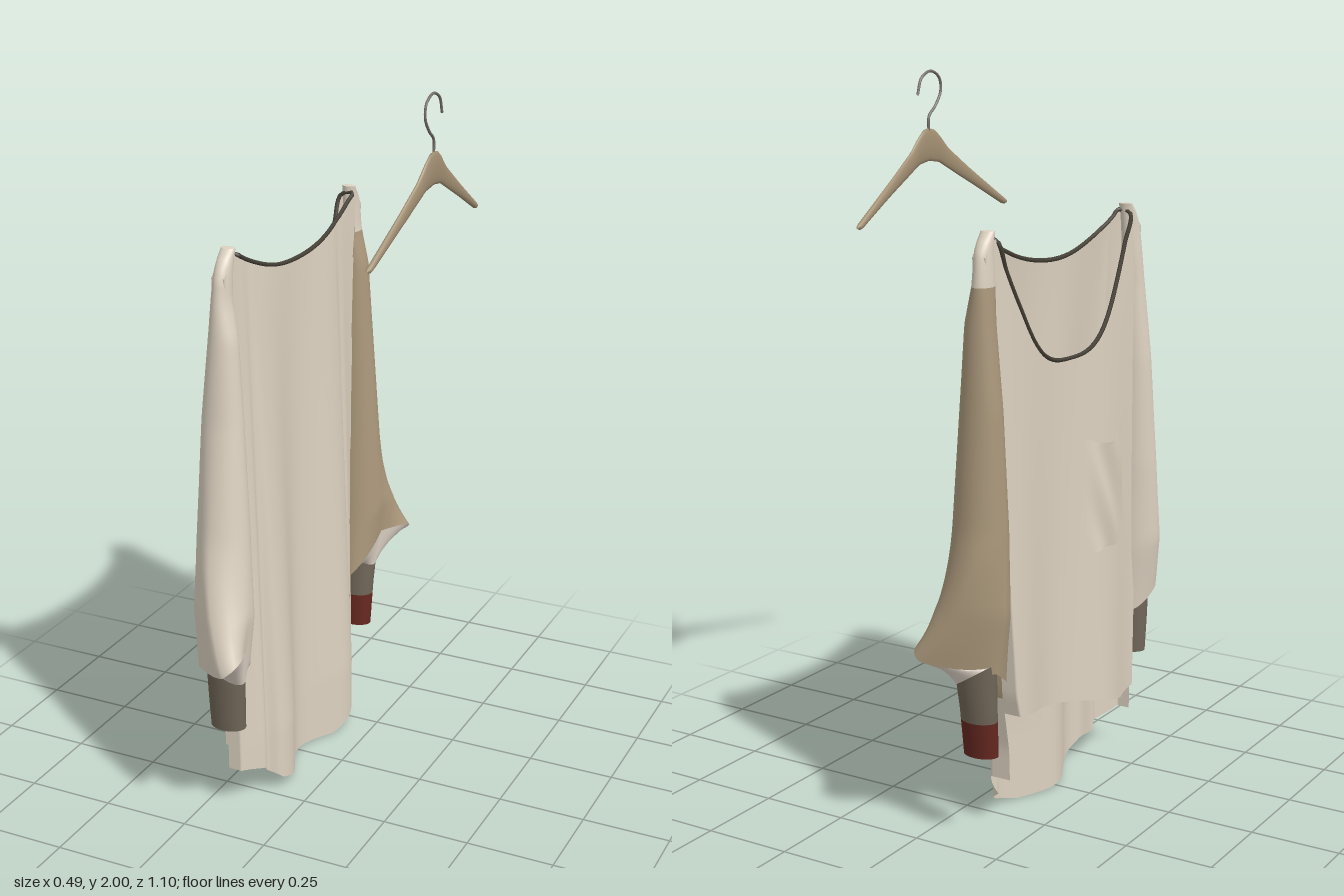
import * as THREE from 'three';
import { mergeVertices } from 'three/addons/utils/BufferGeometryUtils.js';

const mat = (name, color) => {
  const m = new THREE.MeshStandardMaterial({ color, side: THREE.DoubleSide });
  m.name = name;
  return m;
};

// Linear lookup in a table of [key, value] pairs, keys ascending
function look(table, k) {
  if (k <= table[0][0]) return table[0][1];
  for (let i = 1; i < table.length; i++) {
    const [k0, v0] = table[i - 1], [k1, v1] = table[i];
    if (k <= k1) return v0 + (v1 - v0) * (k - k0) / (k1 - k0);
  }
  return table[table.length - 1][1];
}
const lerp = THREE.MathUtils.lerp;
const clamp01 = (t) => THREE.MathUtils.clamp(t, 0, 1);

// Smooth surface from fn(u, v) -> [x, y, z]; pick(x, y, z) chooses a material slot per cell
function grid(nu, nv, fn, pick) {
  const pos = [], slots = [[], []];
  for (let j = 0; j <= nv; j++)
    for (let i = 0; i <= nu; i++) pos.push(...fn(i / nu, j / nv));
  for (let j = 0; j < nv; j++)
    for (let i = 0; i < nu; i++) {
      const a = j * (nu + 1) + i, b = a + 1, c = a + nu + 1, d = c + 1;
      const mid = fn((i + 0.5) / nu, (j + 0.5) / nv);
      slots[pick ? pick(...mid) : 0].push(a, b, d, a, d, c);
    }
  let g = new THREE.BufferGeometry();
  g.setAttribute('position', new THREE.Float32BufferAttribute(pos, 3));
  g.setIndex([...slots[0], ...slots[1]]);
  g.addGroup(0, slots[0].length, 0);
  g.addGroup(slots[0].length, slots[1].length, 1);
  g = mergeVertices(g, 1e-5);
  g.computeVertexNormals();
  return g;
}

// Torso side edges by height, hems by z
const EDGE_L = [[0, 0.36], [0.5, 0.365], [1, 0.355], [1.4, 0.36], [1.58, 0.372]];
const EDGE_R = [[0, -0.31], [0.23, -0.32], [0.4, -0.355], [0.65, -0.37], [1, -0.39], [1.4, -0.42], [1.58, -0.455]];
const HEM = {
  1: [[-0.33, 0.14], [-0.31, 0.09], [-0.28, 0.055], [-0.24, 0.03], [-0.15, 0.002], [0, 0.008], [0.14, 0.018], [0.22, 0.045], [0.28, 0.1], [0.365, 0.125]],
  '-1': [[-0.33, 0.34], [-0.2, 0.31], [0, 0.27], [0.25, 0.2], [0.365, 0.2]],
};
function topLine(side, z) {
  const s = Math.abs((z + 0.045) / 0.355);
  if (s > 1) return 1.615 - Math.min(0.06, (s - 1) * 0.3);
  return side > 0 ? 1.515 + 0.1 * s * s : 1.25 + 0.365 * s ** 2.8;
}
// Depth of the draped cloth, folds growing towards the hem
function drape(side, y, z) {
  const t = clamp01((1.6 - y) / 1.4);
  const crease = (zc) => Math.exp(-(((z - zc) / 0.016) ** 2));
  return side > 0
    ? -0.155 + t ** 0.8 * (0.045 + 0.033 * Math.cos((z - 0.19) * 5.1 * Math.PI) - 0.022 * (crease(0.255) + crease(-0.285)))
    : -0.193 - t * (0.018 + 0.022 * Math.cos((z - 0.13) * 13.4));
}
// The outer 5% of each panel turns the corner and runs back to the side seam
const panelPoint = (side) => (u, v) => {
  const turn = Math.sin(clamp01(Math.min(u, 1 - u) / 0.05) * Math.PI / 2);
  const w = clamp01((u - 0.045) / 0.91);
  const yb = look(HEM[side], lerp(0.365, -0.33, w));
  const yt = topLine(side, lerp(0.372, -0.455, w));
  const y = lerp(yb, yt, v);
  const z = lerp(look(EDGE_L, y), look(EDGE_R, y), w);
  return [lerp(-0.18, drape(side, y, z), turn), y, z];
};
const SEAM = [[0.39, -0.31], [0.65, -0.345], [0.97, -0.37], [1.5, -0.4]];

// Sleeve limits by height: inner |z|, outer |z|; forward sweep and thinning of the outer tip
const SLEEVES = {
  1: {
    zin: [[0.5, 0.35], [0.63, 0.335], [0.87, 0.33], [1.4, 0.325], [1.55, 0.31], [1.63, 0.3]],
    zout: [[0.5, 0.555], [0.53, 0.55], [0.63, 0.525], [0.87, 0.47], [1.18, 0.422], [1.4, 0.4], [1.57, 0.377], [1.61, 0.35], [1.63, 0.325]],
    skew: 0.06, thin: 0.5,
  },
  '-1': {
    zin: [[0.5, 0.325], [0.63, 0.345], [0.87, 0.365], [1.4, 0.395], [1.63, 0.395]],
    zout: [[0.5, 0.548], [0.53, 0.543], [0.63, 0.525], [0.87, 0.492], [1.23, 0.477], [1.5, 0.468], [1.58, 0.46], [1.61, 0.44], [1.63, 0.42]],
    skew: 0.1, thin: 0.25,
  },
};
// Sleeve rear and front x by height
const REAR = [[0.5, -0.215], [0.65, -0.24], [0.87, -0.238], [1.18, -0.225], [1.4, -0.207], [1.63, -0.193]];
const FRONT = [[0.5, -0.075], [0.63, -0.067], [0.87, -0.085], [1.18, -0.108], [1.4, -0.125], [1.5, -0.148], [1.63, -0.153]];

const sleevePoint = (side) => (u, v) => {
  const { zin, zout, skew, thin } = SLEEVES[side];
  const y = lerp(1.63, 0.5, v), a = u * Math.PI * 2;
  const c = Math.cos(a), s = Math.sin(a);
  const w = clamp01((0.85 - y) / 0.35) ** 2;
  const zi = look(zin, y), zo = look(zout, y), xr = look(REAR, y), xf = look(FRONT, y);
  const slim = s < 0 && c > 0 ? 1 - thin * c * clamp01((1.2 - y) / 0.5) : 1;
  return [
    (xr + xf) / 2 + (xf - xr) / 2 * s * slim + skew * w * Math.max(c, 0),
    y + w * ((s > 0 ? 0.055 : 0.015) * s + (c > 0 ? 0.025 : 0.075) * c),
    side * ((zi + zo) / 2 + (zo - zi) / 2 * c),
  ];
};
// Flattened tapering cuff ring, its upper end dipping towards the front
const cuffRing = (side, y, u) => {
  const a = u * Math.PI * 2, t = clamp01((y - 0.25) / 0.25);
  const zc = side > 0 ? lerp(0.405, 0.418, t) : lerp(0.415, 0.438, t);
  const dip = 0.035 * clamp01((y - 0.38) / 0.09) * Math.sin(a);
  return [-0.152 + lerp(0.05, 0.056, t) * Math.sin(a), y - dip, side * (zc + lerp(0.034, 0.046, t) * Math.cos(a))];
};

export function createModel() {
  const model = new THREE.Group();
  const cream = mat('cream cloth', 0xddd2c1);
  const tan = mat('tan cloth', 0xab987b);
  const lining = mat('pale lining', 0xe8dccf);
  const taupe = mat('taupe rib', 0x706658);
  const red = mat('dark red rib', 0x662820);
  const trim = mat('dark neck binding', 0x474238);
  const wood = mat('hanger wood', 0xa39073);
  const metal = mat('hook metal', 0x77716a);
  const add = (name, geometry, material, parent = model) => {
    const m = new THREE.Mesh(geometry, material);
    m.name = name;
    parent.add(m);
  };

  // Torso panels, with the tan sleeve seam running onto the front panel
  const shirt = new THREE.Group();
  shirt.name = 'shirt';
  model.add(shirt);
  for (const side of [1, -1]) {
    const seam = (x, y, z) => (side > 0 && y > 0.38 && y < 1.5 && z < look(SEAM, y) ? 1 : 0);
    add(side > 0 ? 'highNeckPanel' : 'lowNeckPanel', grid(120, 70, panelPoint(side), seam), [cream, tan], shirt);
  }

  // Neck binding: one loop along both necklines
  const loop = [];
  for (const side of [1, -1])
    for (let i = 0; i <= 24; i++) {
      const k = side > 0 ? i / 24 : 1 - i / 24;
      const u = lerp(0.118, 0.89, k);
      loop.push(new THREE.Vector3(...panelPoint(side)(u, 1)));
    }
  add('neckBinding', new THREE.TubeGeometry(new THREE.CatmullRomCurve3(loop, true), 140, 0.006, 6, true), trim, shirt);

  // Sleeves, gathered undersides and cuffs
  for (const side of [1, -1]) {
    const label = side > 0 ? 'left' : 'right';
    const sp = sleevePoint(side);
    add(label + 'Sleeve', grid(32, 50, sp, (x, y) => (side < 0 && y < 1.5 ? 1 : 0)), [cream, tan], shirt);
    add(label + 'ShoulderCap', grid(32, 1, (u, v) => {
      const p = sp(u, 0);
      return v ? [-0.173, 1.632, side * (side > 0 ? 0.312 : 0.408)] : p;
    }), cream, shirt);
    add(label + 'SleeveGather', grid(32, 4, (u, v) => {
      const p = sp(u, 1), q = cuffRing(side, 0.475, u);
      return p.map((n, i) => lerp(n, q[i], v));
    }), lining, shirt);
    const bands = side > 0 ? [['Cuff', 0.475, 0.295, taupe]] : [['Cuff', 0.475, 0.345, taupe], ['CuffEnd', 0.345, 0.245, red]];
    for (const [name, y0, y1, m] of bands)
      add(label + name, grid(24, 6, (u, v) => cuffRing(side, lerp(y0, y1, v), u)), m, shirt);
  }

  // Patch pocket, slightly rumpled
  add('pocket', grid(20, 20, (u, v) => {
    const z = lerp(0.03, 0.245, u), y = lerp(0.69, 1.02, v) - 0.03 * Math.sin(u * Math.PI) * v;
    const lift = Math.sin(u * Math.PI) * (0.01 + 0.009 * Math.sin(11 * u + 8 * v));
    return [drape(-1, y, z) - 0.006 - lift, y, z];
  }), cream, shirt);

  // Hanger: bowed arms with a bell-shaped centre
  const hanger = new THREE.Group();
  hanger.name = 'hanger';
  model.add(hanger);
  const TOP = [[0, 1.845], [0.025, 1.84], [0.05, 1.822], [0.09, 1.785], [0.19, 1.722], [0.35, 1.627], [0.366, 1.617]];
  const LOW = [[0, 1.755], [0.05, 1.748], [0.12, 1.715], [0.2, 1.678], [0.35, 1.606], [0.366, 1.61]];
  add('hangerArms', grid(14, 60, (u, v) => {
    const d = lerp(-0.366, 0.366, v), k = Math.abs(d), a = u * Math.PI * 2;
    const hi = look(TOP, k), lo = look(LOW, k);
    const end = k > 0.365 ? 0.4 : 1;
    return [0.238 - 0.022 * (k / 0.366) ** 1.3 + 0.008 * end * Math.cos(a), (hi + lo) / 2 + (hi - lo) / 2 * Math.sin(a), -0.054 + d];
  }), wood, hanger);

  // Hook
  const hook = [[-0.054, 1.83], [-0.053, 1.875], [-0.022, 1.902], [0.005, 1.94], [0, 1.975], [-0.042, 1.996], [-0.088, 1.978], [-0.106, 1.935]];
  const path = new THREE.CatmullRomCurve3(hook.map(([z, y]) => new THREE.Vector3(0.237, y, z)));
  add('hangerHook', new THREE.TubeGeometry(path, 48, 0.0038, 8), metal, hanger);
  return model;
}
